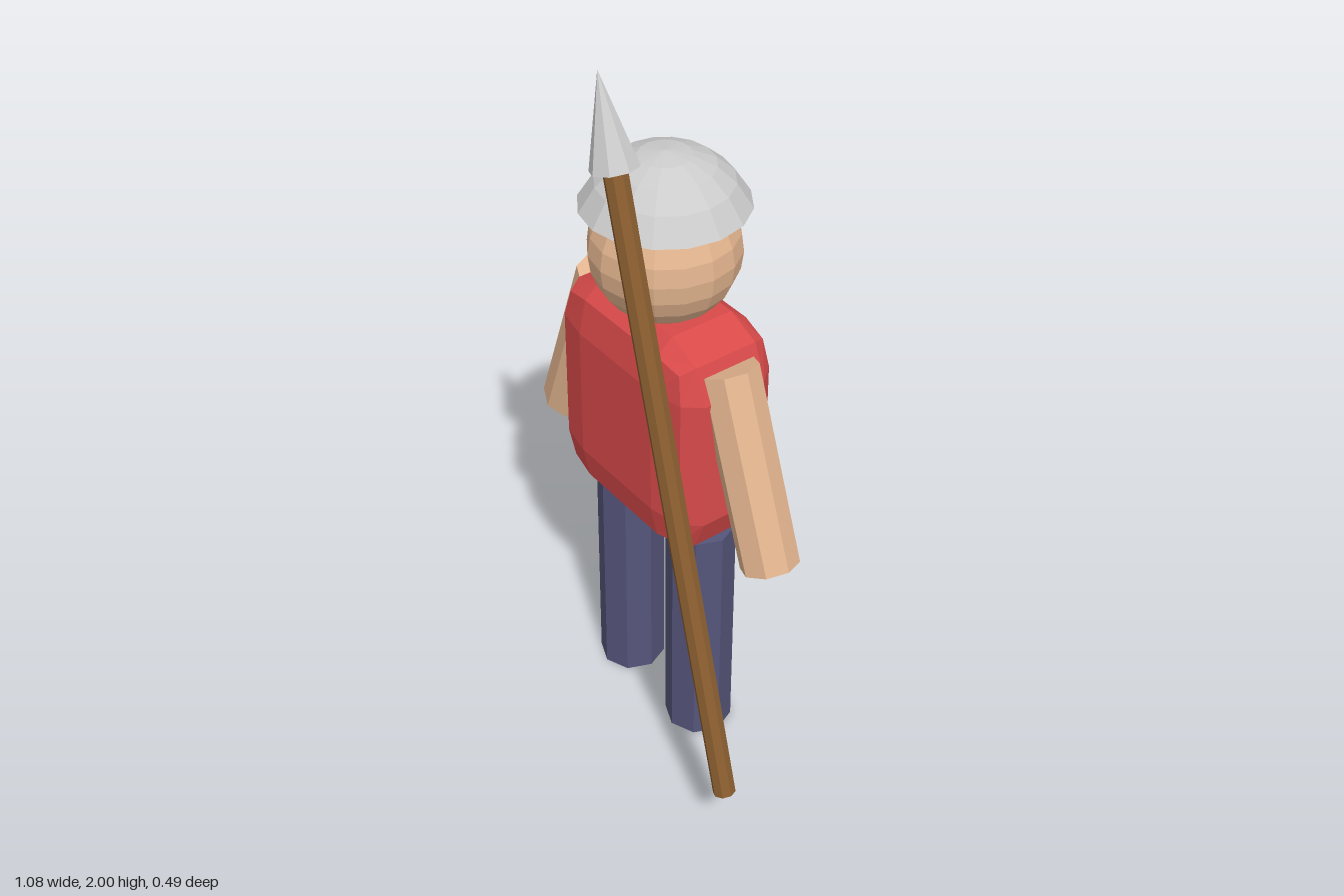
import * as THREE from 'three';
import { RoundedBoxGeometry } from 'three/addons/geometries/RoundedBoxGeometry.js';

export function createModel() {
  const model = new THREE.Group();
  model.name = 'spearGuard';

  const flat = (color, side = THREE.FrontSide) =>
    new THREE.MeshStandardMaterial({ color, side, flatShading: true });
  const metal = flat(0xcccccc, THREE.DoubleSide);
  const skin = flat(0xe3b58f);
  const red = flat(0xd94a4a);
  const cloth = flat(0x55557a);
  const wood = flat(0x8b5e30);

  const add = (parent, name, geometry, material, x = 0, y = 0, z = 0) => {
    const mesh = new THREE.Mesh(geometry, material);
    mesh.name = name;
    mesh.position.set(x, y, z);
    parent.add(mesh);
    return mesh;
  };

  // The body stands slightly behind and beside the spear
  const body = new THREE.Group();
  body.name = 'body';
  body.position.set(-0.041, 0, -0.04);
  model.add(body);

  // Torso: chamfered box, flattened front to back
  const torso = add(body, 'torso', new RoundedBoxGeometry(0.55, 0.625, 0.61, 1, 0.13), red, 0, 0.984, 0);
  torso.scale.z = 0.5;

  // Head
  add(body, 'head', new THREE.SphereGeometry(0.187, 16, 12), skin, 0, 1.44, 0);

  // Helmet: open shallow bowl
  const bowl = [[0.207, 1.56], [0.167, 1.622], [0.122, 1.662], [0.065, 1.687], [0, 1.697]]
    .map(([r, y]) => new THREE.Vector2(r, y));
  add(body, 'helmet', new THREE.LatheGeometry(bowl, 16), metal);

  // Legs and arms, mirrored
  for (const [side, s] of [['left', 1], ['right', -1]]) {
    add(body, side + 'Leg', new THREE.CylinderGeometry(0.09, 0.09, 0.684, 8), cloth, s * 0.152, 0.342, 0);
    const arm = add(body, side + 'Arm', new THREE.CylinderGeometry(0.075, 0.075, 0.524, 8), skin, s * 0.336, 0.982, 0);
    arm.rotation.z = s * THREE.MathUtils.degToRad(20);
  }

  // Spear: origin at the foot of the shaft, leaning across the body
  const spear = new THREE.Group();
  spear.name = 'spear';
  spear.position.set(0.511, 0.184, 0.188);
  spear.rotation.z = THREE.MathUtils.degToRad(15);
  model.add(spear);
  const shaftLength = 1.66;
  add(spear, 'spearShaft', new THREE.CylinderGeometry(0.029, 0.029, shaftLength, 8), wood, 0, shaftLength / 2, 0);
  add(spear, 'spearHead', new THREE.ConeGeometry(0.058, 0.22, 8), metal, 0, shaftLength + 0.11, 0);

  return model;
}
